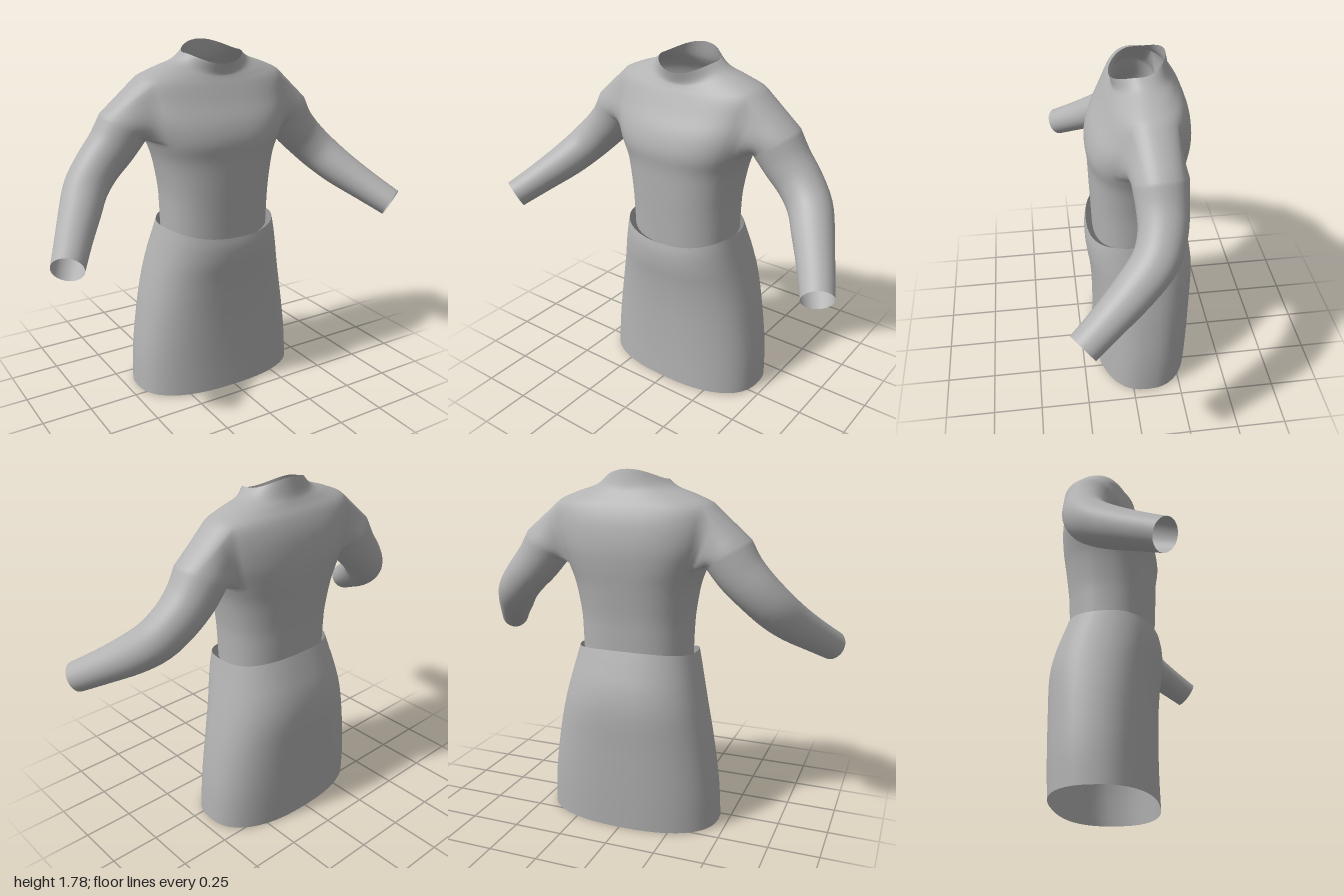
import * as THREE from 'three';

const COLS = 48, SUB = 4;
const fabric = new THREE.MeshStandardMaterial({ color: 0xb2b2b2, side: THREE.DoubleSide });
fabric.name = 'grey fabric';

// Smooth interpolation through key rows of numbers
function sampleRows(keys, t) {
  const i = Math.min(Math.floor(t), keys.length - 2), f = t - i;
  const k = (n) => keys[Math.max(0, Math.min(keys.length - 1, n))];
  return keys[i].map((_, c) => {
    const [a, b, d, e] = [k(i - 1)[c], k(i)[c], k(i + 1)[c], k(i + 2)[c]];
    const m0 = (d - a) / 2, m1 = (e - b) / 2;
    return b + m0 * f + (3 * (d - b) - 2 * m0 - m1) * f * f + (2 * (b - d) + m0 + m1) * f ** 3;
  });
}

// Point of a rounded cross-section: half width, side/front/back heights, front/back z, roundness
function ringPoint([w, yS, yF, yB, zF, zB, n], col) {
  const a = (col / COLS) * Math.PI * 2, c = Math.cos(a), s = Math.sin(a);
  const bend = (v) => Math.sign(v) * Math.abs(v) ** (2 / n);
  const y = yS + ((s > 0 ? yF : yB) - yS) * s * s;
  return [w * bend(c), y, (zF + zB) / 2 + ((zF - zB) / 2) * bend(s)];
}

function quad(index, p, next, up, upNext) {
  index.push(p, up, next, next, up, upNext);
}

function makeMesh(name, points, index) {
  const g = new THREE.BufferGeometry();
  g.setAttribute('position', new THREE.Float32BufferAttribute(points.flat(), 3));
  g.setIndex(index);
  g.computeVertexNormals();
  const mesh = new THREE.Mesh(g, fabric);
  mesh.name = name;
  return mesh;
}

// Stacked rings joined into a wall; skip(row, col) leaves openings
function loft(keys, skip = () => false) {
  const points = [], index = [], rows = (keys.length - 1) * SUB;
  for (let r = 0; r <= rows; r++) {
    const row = sampleRows(keys, r / SUB);
    for (let c = 0; c < COLS; c++) points.push(ringPoint(row, c));
  }
  for (let r = 0; r < rows; r++) {
    for (let c = 0; c < COLS; c++) {
      if (skip(r, c)) continue;
      const n = (c + 1) % COLS;
      quad(index, r * COLS + c, r * COLS + n, (r + 1) * COLS + c, (r + 1) * COLS + n);
    }
  }
  return { points, index };
}

// Bodice, waist to collar
const bodiceKeys = [
  [0.280, 0.86, 0.82, 0.89, 0.165, -0.260, 2.4],
  [0.283, 0.98, 0.96, 0.99, 0.170, -0.265, 2.4],
  [0.290, 1.08, 1.08, 1.08, 0.175, -0.270, 2.4],
  [0.315, 1.22, 1.22, 1.22, 0.180, -0.287, 2.4],
  [0.350, 1.32, 1.32, 1.32, 0.190, -0.300, 2.5],
  [0.390, 1.42, 1.41, 1.42, 0.168, -0.305, 2.5],
  [0.410, 1.52, 1.50, 1.53, 0.120, -0.290, 2.5],
  [0.405, 1.61, 1.58, 1.61, 0.080, -0.260, 2.4],
  [0.310, 1.66, 1.615, 1.66, 0.062, -0.225, 2.2],
  [0.210, 1.695, 1.635, 1.70, 0.058, -0.205, 2.0],
  [0.156, 1.73, 1.68, 1.778, 0.070, -0.188, 2.0],
];
const HOLE_LOW = 4 * SUB, HOLE_HIGH = 7 * SUB, HOLE_HALF = 4;

// Sleeve centre line and radius, armhole to cuff
const sleeveKeys = [
  [0.470, 1.395, -0.100, 0.127],
  [0.530, 1.310, -0.102, 0.118],
  [0.610, 1.225, -0.092, 0.110],
  [0.690, 1.140, -0.050, 0.105],
  [0.760, 1.060, 0.040, 0.097],
  [0.845, 0.975, 0.165, 0.084],
  [0.925, 0.897, 0.290, 0.075],
];

function makeBodice() {
  const inHole = (r, c) => {
    const half = COLS / 2, d = (c + HOLE_HALF) % half;
    return r >= HOLE_LOW && r < HOLE_HIGH && d < HOLE_HALF * 2;
  };
  const { points, index } = loft(bodiceKeys, inHole);

  for (const side of [1, -1]) {
    // Vertices round the armhole
    const mid = side > 0 ? 0 : COLS / 2;
    const id = (r, c) => r * COLS + ((mid + c + COLS) % COLS);
    let loop = [];
    for (let c = -HOLE_HALF; c < HOLE_HALF; c++) loop.push(id(HOLE_LOW, c));
    for (let r = HOLE_LOW; r < HOLE_HIGH; r++) loop.push(id(r, HOLE_HALF));
    for (let c = HOLE_HALF; c > -HOLE_HALF; c--) loop.push(id(HOLE_HIGH, c));
    for (let r = HOLE_HIGH; r > HOLE_LOW; r--) loop.push(id(r, -HOLE_HALF));
    const hole = loop.map((i) => points[i]);
    const angles = hole.map((p) => Math.atan2(p[2] + 0.07, p[1] - 1.465));

    // Round sleeve ring at t along the centre line
    const sleeveRing = (t) => {
      const last = sleeveKeys.length - 1;
      const [x, y, z, radius] = sampleRows(sleeveKeys, t);
      const a = sampleRows(sleeveKeys, Math.max(0, t - 0.2));
      const b = sampleRows(sleeveKeys, Math.min(last, t + 0.2));
      const along = new THREE.Vector3(b[0] - a[0], b[1] - a[1], b[2] - a[2]).normalize();
      const front = new THREE.Vector3(0, 0, 1).addScaledVector(along, -along.z).normalize();
      const up = new THREE.Vector3().crossVectors(front, along);
      return angles.map((q) => {
        const p = new THREE.Vector3(x, y, z)
          .addScaledVector(up, radius * Math.cos(q))
          .addScaledVector(front, radius * Math.sin(q));
        return [side * p.x, p.y, p.z];
      });
    };

    // Blend from the armhole into the sleeve, then run to the cuff
    const start = sleeveRing(0), rings = [];
    for (const f of [0.25, 0.5, 0.75]) {
      rings.push(hole.map((p, i) => p.map((v, k) => v + (start[i][k] - v) * f)));
    }
    for (let s = 0; s <= (sleeveKeys.length - 1) * SUB; s++) rings.push(sleeveRing(s / SUB));
    for (const ring of rings) {
      const next = ring.map((p) => points.push(p) - 1);
      loop.forEach((p, i) => {
        const j = (i + 1) % loop.length;
        quad(index, p, loop[j], next[i], next[j]);
      });
      loop = next;
    }
  }
  return makeMesh('longSleevedTop', points, index);
}

// Skirt, hem to waist
const skirtKeys = [
  [0.453, 0.005, 0.005, 0.000, 0.180, -0.330, 2.4],
  [0.442, 0.20, 0.20, 0.20, 0.174, -0.340, 2.4],
  [0.408, 0.43, 0.43, 0.43, 0.176, -0.348, 2.4],
  [0.373, 0.60, 0.60, 0.60, 0.188, -0.352, 2.4],
  [0.345, 0.72, 0.71, 0.72, 0.203, -0.335, 2.4],
  [0.322, 0.82, 0.79, 0.83, 0.205, -0.300, 2.4],
  [0.307, 0.888, 0.842, 0.915, 0.197, -0.270, 2.4],
];

export function createModel() {
  const model = new THREE.Group();
  model.name = 'outfit';
  const skirt = loft(skirtKeys);
  model.add(makeBodice(), makeMesh('skirt', skirt.points, skirt.index));
  return model;
}
